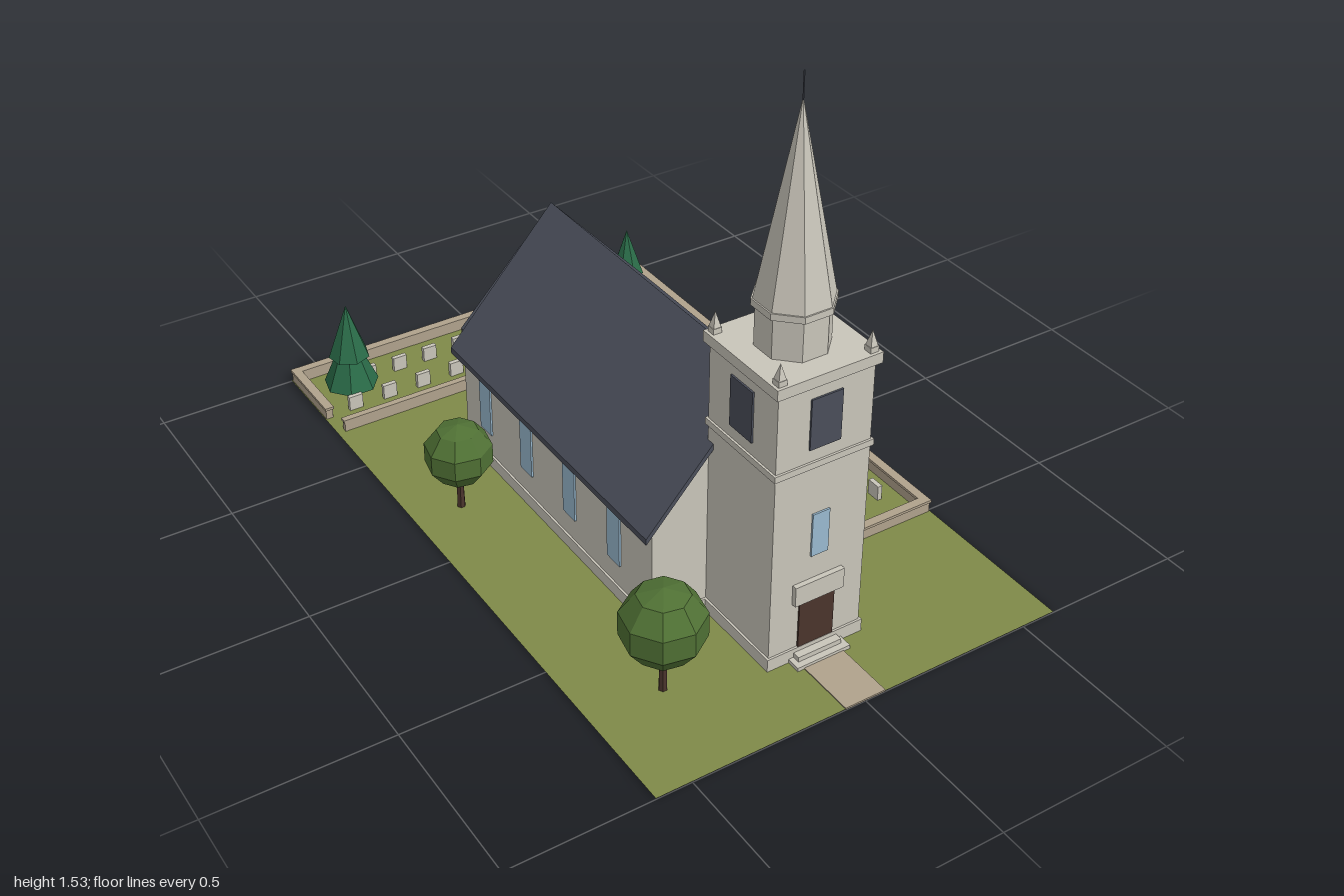
import * as THREE from 'three';

const mat = (name, color, extra = {}) => {
  const m = new THREE.MeshStandardMaterial({ color, flatShading: true, ...extra });
  m.name = name;
  return m;
};

export function createModel() {
  const root = new THREE.Group();
  root.name = 'churchAndYard';
  const M = {
    stone: mat('paleStone', 0xc9c5ba),
    roof: mat('slate', 0x4a4e5a),
    grass: mat('grass', 0x7f8a48, { side: THREE.DoubleSide }),
    tan: mat('tanStone', 0xb0a28c),
    glass: mat('blueGlass', 0x9abad0),
    door: mat('darkWood', 0x4a342c),
    leaf: mat('leafGreen', 0x4f7034),
    pine: mat('pineGreen', 0x2a6b48),
  };

  const add = (name, geo, material, x = 0, y = 0, z = 0, parent = root) => {
    const m = new THREE.Mesh(geo, material);
    m.name = name;
    m.position.set(x, y, z);
    parent.add(m);
    return m;
  };
  // Box standing on height y
  const box = (name, w, h, d, material, x, y, z, parent) =>
    add(name, new THREE.BoxGeometry(w, h, d), material, x, y + h / 2, z, parent);
  // Tapered prism standing on height y, with a flat side to the front
  const prism = (name, rTop, rBase, h, sides, material, x, y, z, parent) => {
    const g = new THREE.CylinderGeometry(rTop, rBase, h, sides, 1, false, Math.PI / sides);
    return add(name, g, material, x, y + h / 2, z, parent);
  };
  // Front outline extruded from zBack to zFront
  const extrude = (name, pts, zBack, zFront, material) => {
    const shape = new THREE.Shape(pts.map(p => new THREE.Vector2(...p)));
    const g = new THREE.ExtrudeGeometry(shape, { depth: zFront - zBack, bevelEnabled: false });
    return add(name, g, material, 0, 0, zBack);
  };

  // Ground and path
  const ground = add('ground', new THREE.PlaneGeometry(1.2, 2), M.grass, 0, 0.003, 0);
  ground.rotation.x = -Math.PI / 2;
  box('path', 0.12, 0.005, 0.18, M.tan, 0, 0.001, 0.91);

  // Gabled hall: walls, plinth and a thin overhanging roof
  const hall = (name, half, roofHalf, eave, ridge, zBack, zFront, roofBack, roofFront) => {
    const t = 0.018;
    const slope = (ridge - eave) / roofHalf;
    const top = ridge - t + 0.002;
    const wallTop = top - half * slope;
    extrude(name + 'Walls', [[-half, 0], [half, 0], [half, wallTop], [0, top], [-half, wallTop]],
      zBack, zFront, M.stone);
    extrude(name + 'Roof', [[roofHalf, eave], [0, ridge], [-roofHalf, eave],
      [-roofHalf, eave - t], [0, ridge - t], [roofHalf, eave - t]], roofBack, roofFront, M.roof);
    box(name + 'Plinth', half * 2 + 0.012, 0.04, zFront - zBack + 0.012, M.stone,
      0, 0, (zFront + zBack) / 2);
  };
  hall('nave', 0.3, 0.33, 0.318, 0.68, -0.45, 0.515, -0.47, 0.535);
  hall('chancel', 0.18, 0.203, 0.238, 0.45, -0.63, -0.44, -0.655, -0.45);

  // Hall windows
  for (const s of [-1, 1])
    for (const z of [0.34, 0.12, -0.105, -0.33])
      box('naveWindow', 0.008, 0.18, 0.06, M.glass, s * 0.301, 0.11, z);
  box('chancelWindow', 0.06, 0.13, 0.008, M.glass, 0, 0.11, -0.631);

  // Tower
  const tower = new THREE.Group();
  tower.name = 'tower';
  tower.position.z = 0.65;
  root.add(tower);
  box('towerShaft', 0.276, 0.81, 0.276, M.stone, 0, 0, 0, tower);
  box('towerPlinth', 0.288, 0.04, 0.288, M.stone, 0, 0, 0, tower);
  box('towerBelt', 0.288, 0.018, 0.288, M.stone, 0, 0.575, 0, tower);
  box('towerCornice', 0.3, 0.03, 0.3, M.stone, 0, 0.81, 0, tower);
  for (let i = 0; i < 4; i++) {
    const a = i * Math.PI / 2;
    const louvre = box('belfryOpening', 0.09, 0.142, 0.008, M.roof,
      Math.sin(a) * 0.139, 0.63, Math.cos(a) * 0.139, tower);
    louvre.rotation.y = a;
  }
  for (const x of [-0.13, 0.13]) for (const z of [-0.13, 0.13]) {
    box('pinnacleBase', 0.024, 0.015, 0.024, M.stone, x, 0.84, z, tower);
    prism('pinnacle', 0, 0.015, 0.042, 4, M.stone, x, 0.855, z, tower);
  }

  // Steeple
  prism('drum', 0.094, 0.094, 0.11, 8, M.stone, 0, 0.84, 0, tower);
  prism('drumCornice', 0.104, 0.104, 0.018, 8, M.stone, 0, 0.95, 0, tower);
  prism('spire', 0.002, 0.1, 0.495, 8, M.stone, 0, 0.968, 0, tower);
  prism('finial', 0.002, 0.002, 0.08, 6, M.roof, 0, 1.455, 0, tower);

  // Entrance
  box('door', 0.105, 0.155, 0.008, M.door, 0, 0.026, 0.139, tower);
  box('doorHood', 0.146, 0.058, 0.02, M.stone, 0, 0.181, 0.142, tower);
  box('towerWindow', 0.05, 0.125, 0.008, M.glass, 0, 0.31, 0.139, tower);
  box('lowerStep', 0.16, 0.014, 0.05, M.stone, 0, 0, 0.158, tower);
  box('upperStep', 0.13, 0.014, 0.03, M.stone, 0, 0.014, 0.15, tower);

  // Churchyard walls, each run following a path of [x, z] points
  const wallRun = (pts, width) => {
    for (let i = 0; i + 1 < pts.length; i++) {
      const [ax, az] = pts[i], [bx, bz] = pts[i + 1];
      const len = Math.hypot(bx - ax, bz - az);
      const x = (ax + bx) / 2, z = (az + bz) / 2;
      const angle = Math.atan2(az - bz, bx - ax);
      const body = box('yardWall', len + width * 0.7, 0.033, width * 0.8, M.tan, x, 0, z);
      const cap = box('yardWallCap', len + width, 0.008, width, M.tan, x, 0.033, z);
      body.rotation.y = cap.rotation.y = angle;
    }
  };
  wallRun([[-0.587, -0.77], [-0.587, -0.987], [0.587, -0.987], [0.587, 0.498], [0.345, 0.498]], 0.026);
  wallRun([[-0.57, -0.685], [0.3, -0.685], [0.342, -0.643], [0.342, 0.498]], 0.02);

  // Gravestones
  const grave = (x, z, w, d) => box('gravestone', w, 0.048, d, M.stone, x, 0, z);
  for (let i = 0; i < 9; i++) if (i !== 5) grave(-0.4 + i * 0.1, -0.885, 0.042, 0.014);
  for (let i = 0; i < 10; i++) grave(-0.5 + i * 0.11, -0.77, 0.042, 0.014);
  for (let i = 0; i < 10; i++) {
    grave(0.42, -0.58 + i * 0.11, 0.014, 0.042);
    grave(0.515, -0.615 + i * 0.11, 0.014, 0.042);
  }

  // Obelisks
  for (const [x, z] of [[0.14, -0.825], [0.47, -0.1]]) {
    box('obeliskBase', 0.044, 0.03, 0.044, M.stone, x, 0, z);
    prism('obeliskShaft', 0.011, 0.018, 0.092, 4, M.stone, x, 0.03, z);
    prism('obeliskTip', 0, 0.011, 0.018, 4, M.stone, x, 0.122, z);
  }

  // Round trees
  for (const [x, z, r, y] of [[-0.46, -0.195, 0.097, 0.18], [-0.39, 0.705, 0.115, 0.208]]) {
    prism('treeTrunk', 0.009, 0.012, y - r * 0.6, 6, M.door, x, 0, z);
    const crown = add('treeCrown', new THREE.SphereGeometry(r, 8, 5), M.leaf, x, y, z);
    crown.scale.y = 0.95;
    crown.rotation.y = 0.2;
  }

  // Conifers
  for (const [x, z, h, r] of [[-0.475, -0.845, 0.305, 0.08], [0.47, -0.83, 0.27, 0.068]]) {
    prism('coniferTrunk', 0.012, 0.012, h * 0.2, 6, M.door, x, 0, z);
    prism('coniferLower', 0, r, h * 0.62, 7, M.pine, x, h * 0.14, z);
    prism('coniferUpper', 0, r * 0.75, h * 0.55, 7, M.pine, x, h * 0.45, z).rotation.y = 0.4;
  }
  return root;
}
